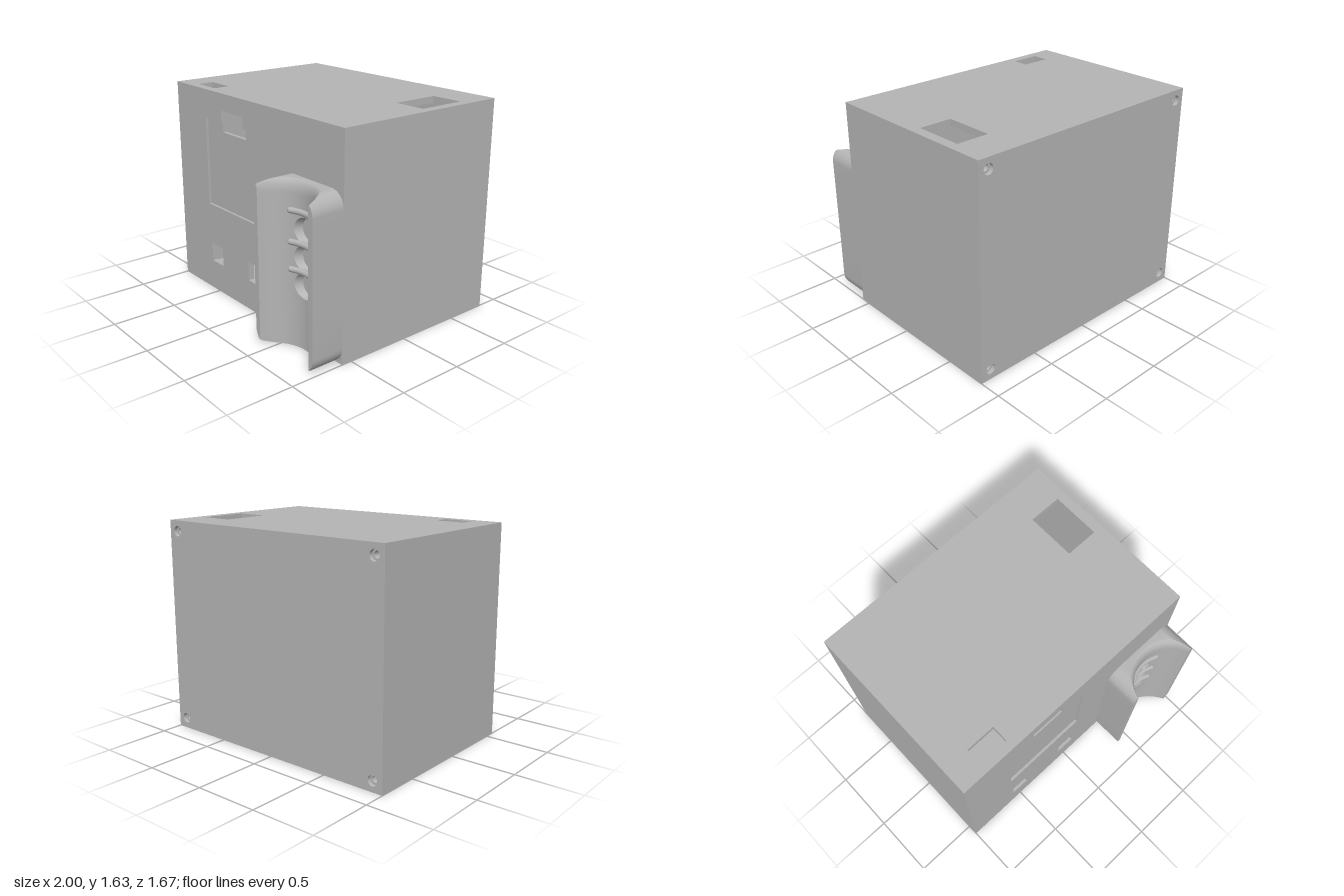
import * as THREE from 'three';
import { toCreasedNormals } from 'three/addons/utils/BufferGeometryUtils.js';

const W = 2, H = 1.63, FRONT = 0.58, BACK = -0.835, WALL = 0.05;

// closed outline from [x, y] corners
const poly = (pts) => new THREE.Path(pts.map(([x, y]) => new THREE.Vector2(x, y)));
const rect = (x0, y0, x1, y1) => poly([[x0, y0], [x1, y0], [x1, y1], [x0, y1]]);
const circle = (x, y, r) => new THREE.Path().absarc(x, y, r, 0, Math.PI * 2);

// flat plate with holes, lying in xy and growing along +z from z
function plate(outline, holes, z, depth) {
  const shape = new THREE.Shape(outline.getPoints());
  shape.holes.push(...holes);
  return new THREE.ExtrudeGeometry(shape, { depth, bevelEnabled: false, curveSegments: 24 }).translate(0, 0, z);
}

function geometryFrom(positions) {
  const g = new THREE.BufferGeometry();
  g.setAttribute('position', new THREE.Float32BufferAttribute(positions, 3));
  return toCreasedNormals(g, 0.6);
}
// two triangles, leaving out any that have no area
function quad(out, a, b, c, d) {
  for (const tri of [[a, b, c], [a, c, d]]) {
    const area = new THREE.Triangle(...tri.map((p) => new THREE.Vector3(...p))).getArea();
    if (area > 1e-8) out.push(...tri.flat());
  }
}

// grooved column dimensions
const CX = 0.6875, HALF = 0.3125, TIP = 0.835, TOP = 1.22, CORNER = 0.12;
const GZ = 0.932, GR = 0.287, PANEL = 0.12, PANEL_Y0 = 0.38, PANEL_Y1 = 0.98;
const root = (v) => Math.sqrt(Math.max(0, v));
const grooveZ = (u, r = GR) => Math.min(TIP, GZ - root(r * r - u * u));

// column: cross-sections stacked in y, with rounded corners and a flared groove top
function columnGeometry() {
  const levels = [];
  for (let i = 0; i <= 10; i++) levels.push(CORNER * (1 - Math.cos(i / 10 * Math.PI / 2)));
  levels.push(PANEL_Y0, PANEL_Y1);
  for (let i = 0; i <= 12; i++) levels.push(TOP - CORNER * (1 - Math.sin(i / 12 * Math.PI / 2)));

  const sections = levels.map((y) => {
    const edge = Math.max(0, CORNER - Math.min(y, TOP - y));
    const half = HALF - (CORNER - root(CORNER * CORNER - edge * edge));
    const t = Math.min(1, Math.max(0, (y - 1.13) / 0.09));
    const r = GR + 0.045 * (1 - root(1 - t * t));
    const chord = Math.min(half, root(r * r - (GZ - TIP) ** 2));
    const us = [-half];
    for (let k = 0; k <= 6; k++) us.push(-chord + (chord - PANEL) * k / 6);
    for (let k = 1; k <= 6; k++) us.push(-PANEL + 2 * PANEL * k / 6);
    for (let k = 1; k <= 6; k++) us.push(PANEL + (chord - PANEL) * k / 6);
    us.push(half);
    return {
      y,
      front: us.map((u) => [CX + u, y, grooveZ(u, r)]),
      back: us.map((u) => [CX + u, y, FRONT]),
    };
  });

  const out = [];
  const n = sections[0].front.length;
  for (let j = 0; j < sections.length - 1; j++) {
    const a = sections[j], b = sections[j + 1];
    for (let i = 0; i < n - 1; i++) {
      // leave the button panel open
      const open = i >= 7 && i <= 12 && a.y >= PANEL_Y0 && b.y <= PANEL_Y1;
      if (!open) quad(out, a.front[i], a.front[i + 1], b.front[i + 1], b.front[i]);
    }
    quad(out, a.back[0], a.front[0], b.front[0], b.back[0]);
    quad(out, a.front[n - 1], a.back[n - 1], b.back[n - 1], b.front[n - 1]);
  }
  const lo = sections[0], hi = sections[sections.length - 1];
  for (let i = 0; i < n - 1; i++) {
    quad(out, hi.front[i], hi.front[i + 1], hi.back[i + 1], hi.back[i]);
    quad(out, lo.back[i], lo.back[i + 1], lo.front[i + 1], lo.front[i]);
  }
  return geometryFrom(out);
}

// curved tile with a round recess
function recessGeometry(cy) {
  const h = 0.1, steps = 10, square = [];
  const corners = [[-PANEL, -h], [PANEL, -h], [PANEL, h], [-PANEL, h]];
  corners.forEach((p, c) => {
    const q = corners[(c + 1) % 4];
    for (let k = 0; k < steps; k++) square.push([p[0] + (q[0] - p[0]) * k / steps, p[1] + (q[1] - p[1]) * k / steps]);
  });
  const ring = (r) => square.map(([u, v]) => {
    const a = Math.atan2(v, u);
    return [r * Math.cos(a), r * Math.sin(a)];
  });
  const onWall = ([u, v]) => [CX + u, cy + v, grooveZ(u)];
  const onFloor = ([u, v]) => [CX + u, cy + v, 0.6];
  const rim = ring(0.095);
  const rings = [
    square.map(onWall),
    square.map(([u, v], i) => onWall([(u + rim[i][0]) / 2, (v + rim[i][1]) / 2])),
    rim.map(onWall),
    ring(0.076).map(onFloor),
    ring(0).map(onFloor),
  ];
  const out = [];
  for (let j = 0; j < rings.length - 1; j++) {
    const a = rings[j], b = rings[j + 1];
    for (let k = 0; k < a.length; k++) {
      const m = (k + 1) % a.length;
      quad(out, a[k], a[m], b[m], b[k]);
    }
  }
  return geometryFrom(out);
}

export function createModel() {
  const model = new THREE.Group();
  model.name = 'enclosure';
  const grey = new THREE.MeshStandardMaterial({ color: 0xb4b4b4 });
  grey.name = 'grey plastic';
  const add = (name, geometry, x = 0, y = 0, z = 0) => {
    const mesh = new THREE.Mesh(geometry, grey);
    mesh.name = name;
    mesh.position.set(x, y, z);
    model.add(mesh);
  };

  // front wall: shallow display recess over a through slot and two windows
  const face = rect(-1, 0, 1, H);
  const windows = () => [rect(-0.58, 0.24, -0.43, 0.39), rect(-0.08, 0.24, 0.075, 0.39)];
  const display = poly([[-0.6, 0.72], [0.09, 0.72], [0.09, 1.415], [-0.105, 1.415],
    [-0.105, 1.5], [-0.385, 1.5], [-0.385, 1.415], [-0.6, 1.415]]);
  const slot = poly([[-0.395, 1.33], [-0.095, 1.33], [-0.095, 1.415], [-0.105, 1.415],
    [-0.105, 1.5], [-0.385, 1.5], [-0.385, 1.415], [-0.395, 1.415]]);
  add('frontFace', plate(face, [display, ...windows()], FRONT - 0.02, 0.02));
  add('frontBacking', plate(face, [slot, ...windows()], FRONT - WALL, WALL - 0.02));

  // back wall with screw holes, and hollow posts behind them
  const screws = [];
  for (const x of [-0.92, 0.92]) for (const y of [0.08, H - 0.08]) screws.push([x, y]);
  add('backPanel', plate(face, screws.map(([x, y]) => circle(x, y, 0.039)), BACK, 0.03));
  for (const [x, y] of screws) {
    add('screwPost', plate(rect(x - 0.075, y - 0.075, x + 0.075, y + 0.075), [circle(x, y, 0.025)], BACK + 0.03, 0.2));
  }

  // top wall with two openings, floor and side walls
  const depth = FRONT - BACK - WALL - 0.03, midZ = (FRONT - WALL + BACK + 0.03) / 2;
  const top = plate(rect(-1, -(FRONT - WALL), 1, -(BACK + 0.03)),
    [rect(0.675, 0.18, 0.925, 0.555), rect(-0.795, -0.51, -0.57, -0.385)], 0, WALL);
  add('topPanel', top.rotateX(-Math.PI / 2), 0, H - WALL, 0);
  add('floorPanel', new THREE.BoxGeometry(W, WALL, depth), 0, WALL / 2, midZ);
  for (const s of [-1, 1]) {
    add('sidePanel', new THREE.BoxGeometry(WALL, H - 2 * WALL, depth), s * (1 - WALL / 2), H / 2, midZ);
  }

  // grooved column with round recesses
  add('groovedColumn', columnGeometry());
  for (const y of [0.48, 0.68, 0.88]) add('roundRecess', recessGeometry(y));

  // curved ribs following the groove
  const arc = Array.from({ length: 9 }, (_, i) => {
    const u = -PANEL + 2 * PANEL * i / 8;
    return new THREE.Vector3(CX + u, 0, grooveZ(u));
  });
  const path = new THREE.CatmullRomCurve3(arc);
  for (const y of [0.58, 0.78, 1.005]) {
    add('rib', new THREE.TubeGeometry(path, 16, 0.022, 14), 0, y, 0);
    for (const p of [arc[0], arc[8]]) add('ribEnd', new THREE.SphereGeometry(0.022, 14, 10), p.x, y, p.z);
  }
  return model;
}
